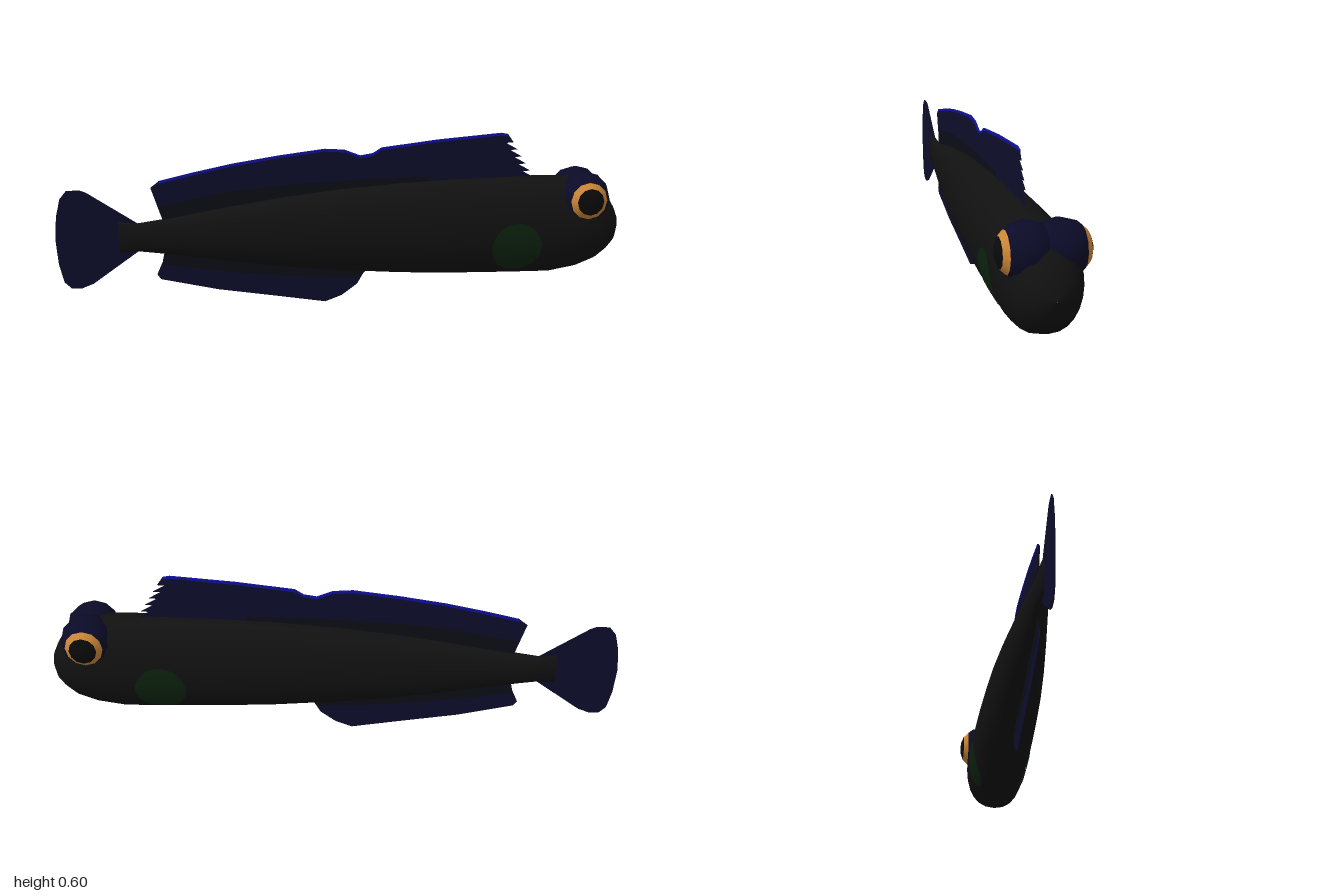
import * as THREE from 'three';

const paint = (name, color) => {
  const m = new THREE.MeshStandardMaterial({ color });
  m.name = name;
  return m;
};

// Body cross-sections from tail to nose: x, top, bottom, half width
const SECTIONS = [
  [-0.787, 0.271, 0.269, 0.001], [-0.785, 0.325, 0.213, 0.016], [-0.72, 0.316, 0.216, 0.022],
  [-0.6, 0.332, 0.2, 0.035], [-0.4, 0.366, 0.168, 0.056], [-0.2, 0.395, 0.14, 0.075],
  [0, 0.416, 0.12, 0.09], [0.2, 0.43, 0.104, 0.1], [0.4, 0.437, 0.095, 0.108],
  [0.6, 0.44, 0.09, 0.112], [0.74, 0.44, 0.088, 0.114], [0.84, 0.435, 0.105, 0.114],
  [0.91, 0.41, 0.132, 0.106], [0.95, 0.37, 0.163, 0.088], [0.975, 0.33, 0.19, 0.066],
  [0.99, 0.297, 0.23, 0.038], [1, 0.264, 0.262, 0.001],
];
const SIDES = 24;
const ROUND = 0.85;

function bodyGeometry() {
  const pos = [], index = [];
  SECTIONS.forEach(([x, top, bottom, w], i) => {
    for (let j = 0; j < SIDES; j++) {
      const a = (j / SIDES) * Math.PI * 2, c = Math.cos(a);
      pos.push(x, (top + bottom) / 2 + ((top - bottom) / 2) * Math.sin(a),
        w * Math.sign(c) * Math.abs(c) ** ROUND);
      if (i === SECTIONS.length - 1) continue;
      const p = i * SIDES + j, q = i * SIDES + (j + 1) % SIDES;
      index.push(p, p + SIDES, q, q, p + SIDES, q + SIDES);
    }
  });
  const g = new THREE.BufferGeometry();
  g.setAttribute('position', new THREE.Float32BufferAttribute(pos, 3));
  g.setIndex(index);
  g.computeVertexNormals();
  return g;
}

// Half width of the body surface at a point of its side
function bodyZ(x, y) {
  const i = Math.max(1, SECTIONS.findIndex((s) => s[0] >= x));
  const a = SECTIONS[i - 1], b = SECTIONS[i], t = (x - a[0]) / (b[0] - a[0]);
  const [top, bottom, w] = [1, 2, 3].map((k) => a[k] + (b[k] - a[k]) * t);
  const s = (y - (top + bottom) / 2) / ((top - bottom) / 2);
  return w * Math.max(0, 1 - s * s) ** (ROUND / 2);
}

// Thin plate in the xy plane, centred on z = 0
function plate(points, depth) {
  const shape = new THREE.Shape(points.map(([x, y]) => new THREE.Vector2(x, y)));
  const g = new THREE.ExtrudeGeometry(shape, { depth, bevelEnabled: false });
  return g.translate(0, 0, -depth / 2);
}

// Strip following a line of points, between two vertical offsets
const strip = (line, low, high) => [
  ...line.map(([x, y]) => [x, y + low]),
  ...[...line].reverse().map(([x, y]) => [x, y + high]),
];

export function createModel() {
  const fish = new THREE.Group();
  fish.name = 'fish';
  const black = paint('body black', 0x111111);
  const navy = paint('fin navy', 0x0d0d2b);
  const dark = paint('fin base dark', 0x0c0c16);
  const blue = paint('fin edge blue', 0x10109a);
  const dome = paint('eyelid navy', 0x0b0b28);
  const gold = paint('iris gold', 0xcc8636);
  const pupil = paint('pupil black', 0x0a0a0a);
  const green = paint('side fin green', 0x0c220e);
  green.side = THREE.DoubleSide;

  const add = (name, geometry, material, parent = fish) => {
    const mesh = new THREE.Mesh(geometry, material);
    mesh.name = name;
    parent.add(mesh);
    return mesh;
  };

  add('body', bodyGeometry(), black);

  // Tail fin
  add('tailFin', plate([
    [-0.7, 0.295], [-0.72, 0.315], [-0.89, 0.43], [-0.91, 0.438], [-0.955, 0.438], [-0.978, 0.41],
    [-0.993, 0.35], [-1, 0.27], [-0.993, 0.18], [-0.978, 0.115], [-0.955, 0.092],
    [-0.92, 0.09], [-0.88, 0.105], [-0.72, 0.217], [-0.7, 0.235],
  ], 0.004), navy);

  // Rear and front dorsal fins; the front one ends in a row of spines
  const rearTop = [[-0.672, 0.44], [-0.645, 0.46], [-0.52, 0.488], [-0.39, 0.514],
    [-0.23, 0.538], [-0.07, 0.557], [0, 0.552], [0.055, 0.53]];
  const frontTop = [[0.055, 0.53], [0.1, 0.537], [0.13, 0.556], [0.33, 0.579], [0.56, 0.597], [0.585, 0.592]];
  const spines = [];
  for (let i = 0; i < 6; i++) {
    const x = 0.585 + i * 0.016, y = 0.59 - i * 0.026;
    spines.push([x + 0.02, y - 0.026], [x - 0.008, y - 0.027]);
  }
  add('rearDorsalFin', plate([[-0.63, 0.31], ...rearTop, [0.055, 0.38], [-0.2, 0.36]], 0.004), navy);
  add('frontDorsalFin', plate([[0.055, 0.38], ...frontTop, ...spines, [0.66, 0.41]], 0.004), navy);
  add('rearDorsalEdge', plate(strip(rearTop.slice(1), -0.007, 0.002), 0.006), blue);
  add('frontDorsalEdge', plate(strip(frontTop, -0.007, 0.002), 0.006), blue);
  add('dorsalFinBase', plate([
    [-0.63, 0.31], [-0.645, 0.375], [-0.4, 0.42], [-0.2, 0.437], [0.05, 0.448],
    [0.3, 0.45], [0.3, 0.4], [0, 0.38], [-0.3, 0.34],
  ], 0.006), dark);

  // Anal fin under the tail half
  add('analFin', plate([
    [-0.63, 0.23], [-0.635, 0.185], [-0.66, 0.13], [-0.648, 0.112], [-0.45, 0.066], [-0.26, 0.035],
    [-0.07, 0.003], [-0.01, 0.025], [0.045, 0.065], [0.065, 0.1], [0.09, 0.13], [-0.2, 0.18],
  ], 0.004), navy);
  add('analFinBase', plate([
    [-0.63, 0.22], [-0.642, 0.165], [-0.4, 0.128], [-0.2, 0.104], [0.05, 0.088], [0.09, 0.13], [-0.2, 0.17],
  ], 0.006), dark);

  for (const side of [1, -1]) {
    const label = side > 0 ? 'right' : 'left';

    // Side fin lying on the flank
    const fin = new THREE.RingGeometry(0.001, 0.09, 24, 5);
    const p = fin.attributes.position;
    for (let i = 0; i < p.count; i++) {
      const x = 0.6 + p.getX(i), y = Math.max(0.12, 0.205 + p.getY(i));
      p.setXYZ(i, x, y, side * (bodyZ(x, y) + 0.003));
    }
    fin.computeVertexNormals();
    add(label + 'SideFin', fin, green);

    // Bulging eye: lid, iris ring and pupil are bands of one ball
    const eye = new THREE.Group();
    eye.name = label + 'Eye';
    eye.position.set(0.855, 0.368, side * 0.05);
    eye.rotation.x = side * Math.PI / 2;
    fish.add(eye);
    const band = (name, points, material) => add(name, new THREE.LatheGeometry(
      points.map(([r, h]) => new THREE.Vector2(r, h)), 12), material, eye);
    band('eyelid', [[0.0, -0.093], [0.046, -0.08], [0.08, -0.046], [0.093, 0], [0.08, 0.046], [0.066, 0.063]], dome);
    band('iris', [[0.066, 0.063], [0.048, 0.081]], gold);
    band('pupil', [[0.048, 0.081], [0.025, 0.09], [0, 0.093]], pupil);
  }
  return fish;
}
